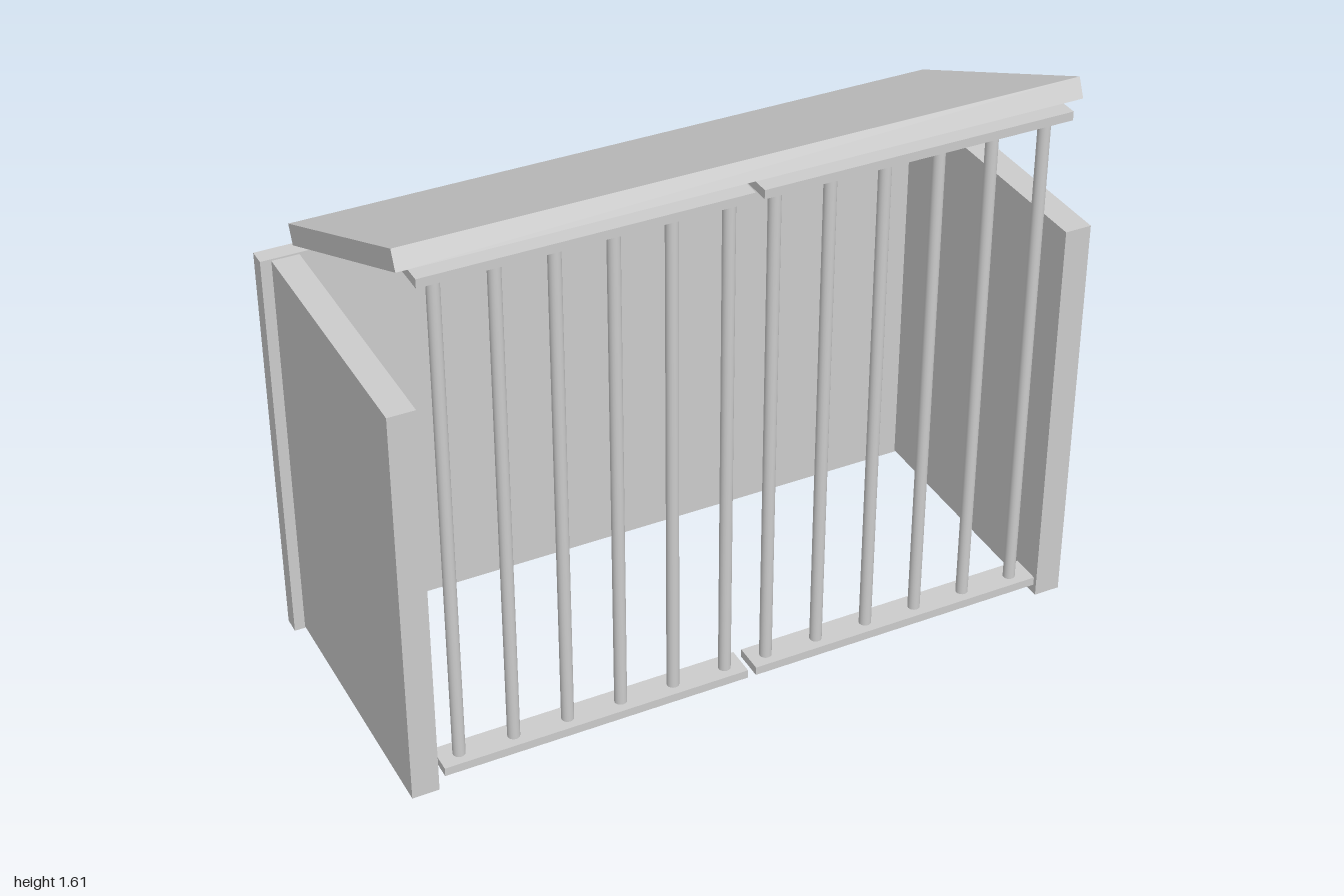
import * as THREE from 'three';

export function createModel() {
  const model = new THREE.Group();
  const material = new THREE.MeshStandardMaterial({ color: 0xcccccc });

  const add = (name, geometry, x, y, z, parent = model) => {
    const mesh = new THREE.Mesh(geometry, material);
    mesh.name = name;
    mesh.position.set(x, y, z);
    parent.add(mesh);
    return mesh;
  };
  // Box given by its minimum and maximum corners
  const addBox = (name, [x0, y0, z0], [x1, y1, z1], parent) =>
    add(name, new THREE.BoxGeometry(x1 - x0, y1 - y0, z1 - z0),
      (x0 + x1) / 2, (y0 + y1) / 2, (z0 + z1) / 2, parent);

  // Walls
  addBox('backWall', [-1, 0, -0.42], [1, 1.185, -0.37]);
  addBox('leftWall', [0.895, 0.005, -0.37], [0.97, 1.18, 0.408]);
  addBox('rightWall', [-0.97, 0.005, -0.37], [-0.895, 1.18, 0.408]);

  // Sloping roof, higher at the front
  const roof = add('roof', new THREE.BoxGeometry(1.84, 0.056, 0.805), 0, 1.418, 0.017);
  roof.rotation.x = -Math.atan2(0.327, 0.736);

  // Two barred gates: top and bottom rails joined by six bars
  const barGeometry = new THREE.CylinderGeometry(0.017, 0.017, 1.445, 16);
  const gates = [['rightGate', -0.882, -0.826], ['leftGate', 0.01, 0.059]];
  for (const [name, railStart, firstBar] of gates) {
    const gate = new THREE.Group();
    gate.name = name;
    model.add(gate);
    const railEnd = railStart + 0.868;
    addBox('bottomRail', [railStart, 0.055, 0.335], [railEnd, 0.08, 0.42], gate);
    addBox('topRail', [railStart, 1.516, 0.335], [railEnd, 1.541, 0.42], gate);
    for (let i = 0; i < 6; i++) {
      add('bar', barGeometry, firstBar + i * 0.1524, 0.798, 0.38, gate);
    }
  }
  return model;
}
